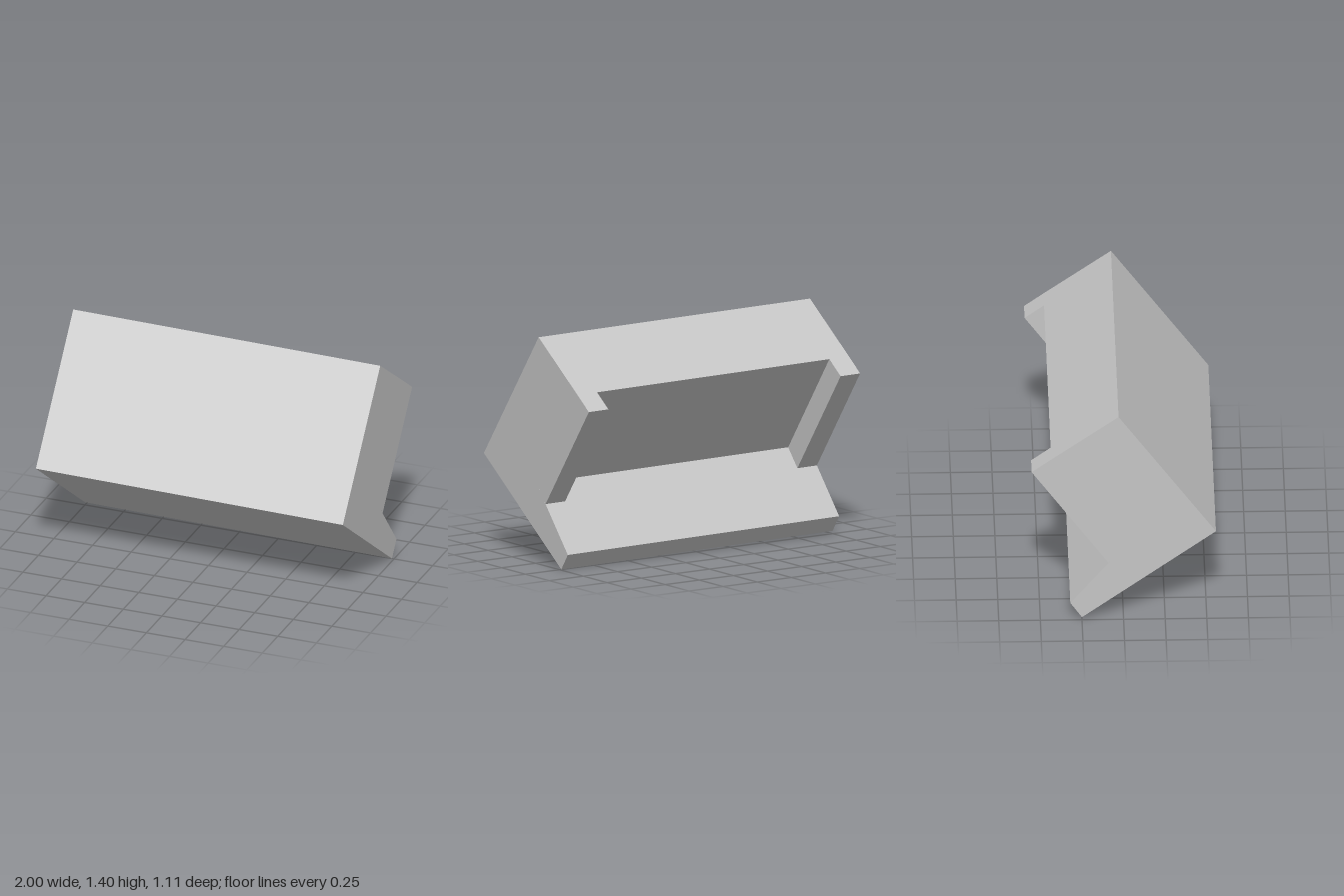
import * as THREE from 'three';

const WIDTH = 1.987;   // overall width
const RAIL = 0.143;    // width of each end rail

// Side profile points as [z, y]
const front = [0.555, 0.595], top = [-0.03, 1.396], backTop = [-0.552, 1.02];
const backLow = [-0.09, 0.384], lipTop = [-0.32, 0.109], lipLow = [-0.25, 0.009];
const recessTop = [-0.435, 1.106], recessLow = [0.005, 0.497];

// Extrude a z/y profile along x, centred on the given x
function prism(points, width, x) {
  const shape = new THREE.Shape(points.map(([z, y]) => new THREE.Vector2(-z, y)));
  const geo = new THREE.ExtrudeGeometry(shape, { depth: width, bevelEnabled: false });
  geo.rotateY(Math.PI / 2);
  geo.translate(x - width / 2, -0.7, 0);
  return geo;
}

export function createModel() {
  const grey = new THREE.MeshStandardMaterial({ color: 0xc4c4c4 });
  grey.name = 'light grey';

  const model = new THREE.Group();
  model.name = 'wedgeBlock';

  // Slight sideways lean of the whole block
  const block = new THREE.Group();
  block.name = 'tiltedBlock';
  block.position.y = 0.7;
  block.rotation.z = -0.009;
  model.add(block);

  const add = (name, geo) => {
    const mesh = new THREE.Mesh(geo, grey);
    mesh.name = name;
    block.add(mesh);
  };

  // Main body with the recessed back and the projecting lip
  add('body', prism([front, top, recessTop, recessLow, lipTop, lipLow], WIDTH, 0));

  // Rails closing both ends of the back recess
  for (const [side, name] of [[1, 'leftRail'], [-1, 'rightRail']]) {
    add(name, prism([recessTop, backTop, backLow, recessLow], RAIL, side * (WIDTH - RAIL) / 2));
  }

  return model;
}
